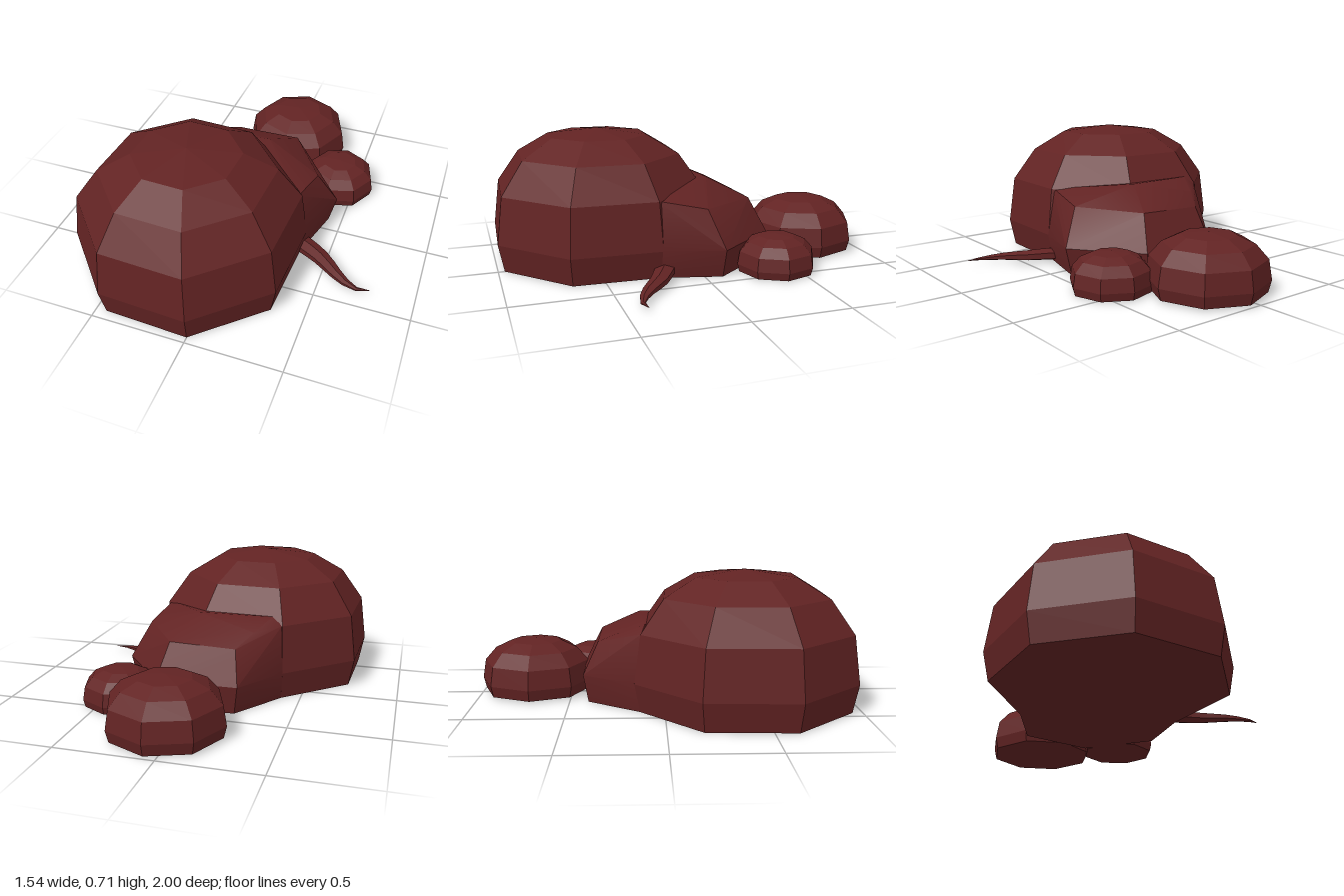
import * as THREE from 'three';
import { toCreasedNormals } from 'three/addons/utils/BufferGeometryUtils.js';
import { ConvexGeometry } from 'three/addons/geometries/ConvexGeometry.js';

// Dome outline for unit radius and unit height, from the floor centre to the apex
const DOME_PROFILE = [[0, 0], [0.95, 0], [1, 0.21], [0.945, 0.565], [0.74, 0.81], [0.455, 0.953], [0, 1]];

const faceted = (geometry) => toCreasedNormals(geometry, 0.02);

function dome(name, material, { x, y, z, radius, height, turn }) {
  const points = DOME_PROFILE.map(([r, h]) => new THREE.Vector2(r * radius, h * height));
  const mesh = new THREE.Mesh(faceted(new THREE.LatheGeometry(points, 8, turn)), material);
  mesh.name = name;
  mesh.position.set(x, y, z);
  return mesh;
}

// Sloping shoulder that blends the main dome into the rear
function shoulder(material) {
  const corners = [
    // floor
    [-0.4, 0, -0.125], [-0.21, 0, -0.4], [0.18, 0, -0.41], [0.425, 0, -0.09], [0.345, 0, 0.22],
    // widest level
    [-0.41, 0.15, -0.155], [-0.23, 0.15, -0.425], [0.2, 0.15, -0.43], [0.463, 0.15, -0.095], [0.375, 0.15, 0.215],
    // upper level
    [-0.395, 0.4, -0.12], [-0.27, 0.385, -0.23], [-0.2, 0.325, -0.345], [0.15, 0.335, -0.34],
    [0.36, 0.345, -0.03], [0.325, 0.4, 0.23],
    // ridge, and inner points hidden in the dome
    [-0.34, 0.44, -0.1], [0.05, 0.445, -0.13], [-0.2, 0.4, 0.25], [-0.2, 0, 0.25],
  ].map((c) => new THREE.Vector3(...c));
  const mesh = new THREE.Mesh(toCreasedNormals(new ConvexGeometry(corners), 0.55), material);
  mesh.name = 'shoulder';
  return mesh;
}

// Flat, tapering tail lying along the floor
function tail(material) {
  const curve = new THREE.CatmullRomCurve3([
    [0.29, 0.042, 0.17], [0.385, 0.042, 0.215], [0.48, 0.038, 0.268],
    [0.59, 0.032, 0.355], [0.69, 0.025, 0.408], [0.77, 0.028, 0.4],
  ].map((p) => new THREE.Vector3(...p)));
  const geometry = new THREE.CylinderGeometry(1, 1, 1, 6, 8);
  const position = geometry.attributes.position;
  const up = new THREE.Vector3(0, 1, 0);
  for (let i = 0; i < position.count; i++) {
    const t = position.getY(i) + 0.5;
    const taper = Math.max(0.02, 1 - t ** 1.9);
    const side = curve.getTangentAt(t).cross(up).normalize();
    const point = curve.getPointAt(t)
      .addScaledVector(side, position.getX(i) * 0.057 * taper)
      .addScaledVector(up, position.getZ(i) * 0.034 * taper);
    position.setXYZ(i, point.x, point.y, point.z);
  }
  const mesh = new THREE.Mesh(toCreasedNormals(geometry, 0.5), material);
  mesh.name = 'tail';
  return mesh;
}

export function createModel() {
  const group = new THREE.Group();
  group.name = 'domedCreature';
  const darkRed = new THREE.MeshStandardMaterial({ color: 0x622323 });
  darkRed.name = 'darkRed';
  group.add(
    dome('mainDome', darkRed, { x: -0.2, y: 0, z: 0.42, radius: 0.612, height: 0.706, turn: 0.35 }),
    dome('largeRearDome', darkRed, { x: 0.05, y: 0.01, z: -0.703, radius: 0.305, height: 0.288, turn: -0.03 }),
    dome('smallRearDome', darkRed, { x: 0.4, y: 0.002, z: -0.397, radius: 0.21, height: 0.193, turn: -0.1 }),
    shoulder(darkRed),
    tail(darkRed),
  );
  return group;
}
